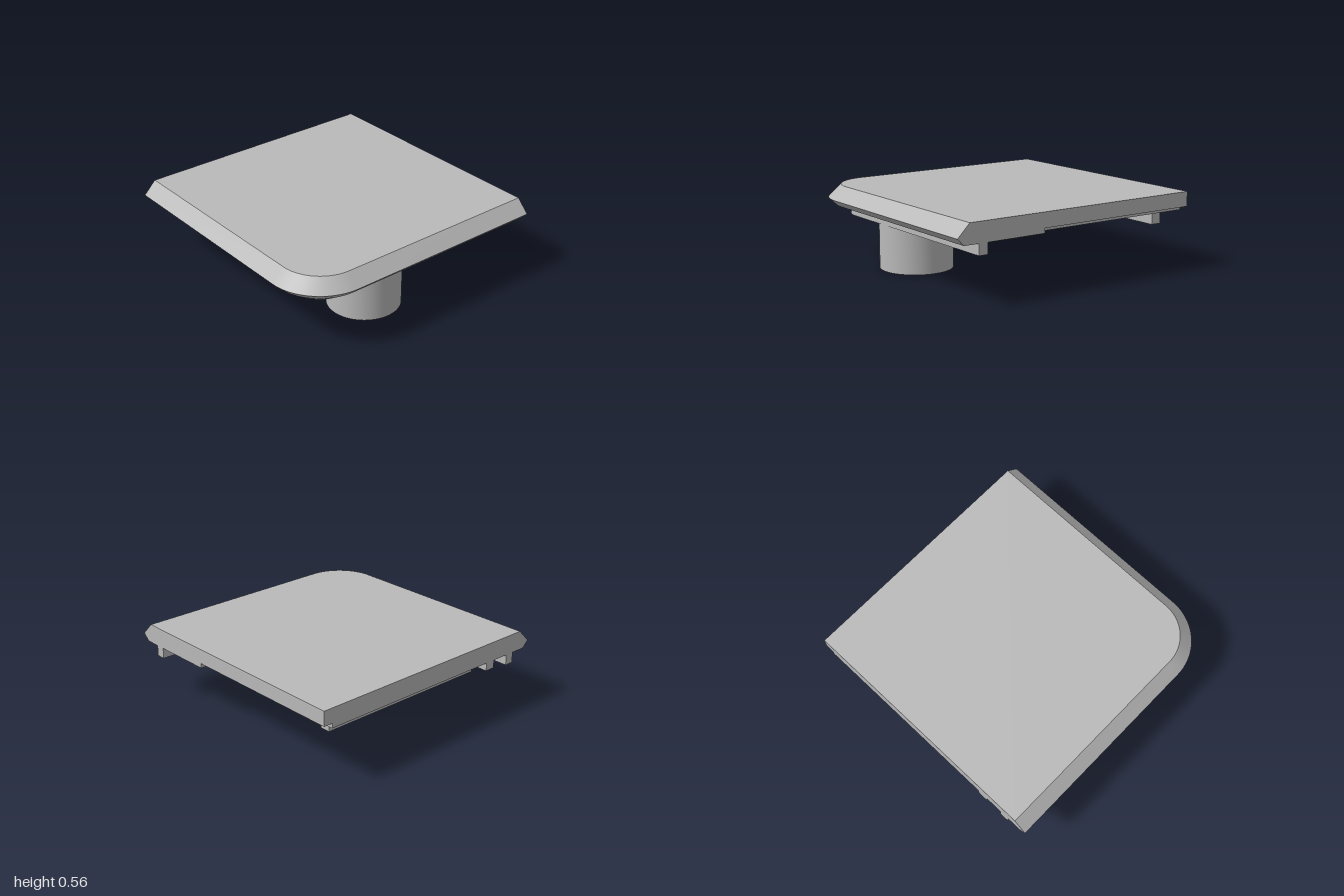
import * as THREE from 'three';
import { toCreasedNormals } from 'three/addons/utils/BufferGeometryUtils.js';

const grey = new THREE.MeshStandardMaterial({ color: 0xbababa });
grey.name = 'grey';

// Edge path set in from the outer boundary: along the front, round the corner, to the back
function edgePath(inset) {
  const pts = [[1, 1 - inset]];
  const r = 0.4 - inset;
  const n = 20;
  for (let i = 0; i <= n; i++) {
    const a = (i / n) * Math.PI / 2;
    pts.push([-0.6 - r * Math.sin(a), 0.6 + r * Math.cos(a)]);
  }
  pts.push([-1 + inset, -1]);
  return pts;
}

// Solid through stacked [x, z] outlines, each at its own height
function loft(layers) {
  const pos = [];
  const tri = (...corners) => corners.forEach((p) => pos.push(...p));
  const at = (layer, i) => {
    const [x, z] = layer.pts[i % layer.pts.length];
    return [x, layer.y, z];
  };
  for (let k = 0; k + 1 < layers.length; k++) {
    const lo = layers[k], hi = layers[k + 1];
    for (let i = 0; i < lo.pts.length; i++) {
      tri(at(lo, i + 1), at(lo, i), at(hi, i));
      tri(at(lo, i + 1), at(hi, i), at(hi, i + 1));
    }
  }
  const cap = (layer, up) => {
    const flat = layer.pts.map(([x, z]) => new THREE.Vector2(x, z));
    for (const [a, b, c] of THREE.ShapeUtils.triangulateShape(flat, [])) {
      const area = THREE.ShapeUtils.area([flat[a], flat[b], flat[c]]);
      const order = (area < 0) === up ? [a, b, c] : [a, c, b];
      tri(...order.map((i) => at(layer, i)));
    }
  };
  cap(layers[0], false);
  cap(layers[layers.length - 1], true);
  const geo = new THREE.BufferGeometry();
  geo.setAttribute('position', new THREE.Float32BufferAttribute(pos, 3));
  return toCreasedNormals(geo, 0.4);
}

export function createModel() {
  const model = new THREE.Group();
  model.name = 'corner plate';
  const add = (name, geo) => {
    const mesh = new THREE.Mesh(geo, grey);
    mesh.name = name;
    model.add(mesh);
    return mesh;
  };
  const bar = (name, x0, x1, y0, y1, z0, z1) =>
    add(name, new THREE.BoxGeometry(x1 - x0, y1 - y0, z1 - z0))
      .position.set((x0 + x1) / 2, (y0 + y1) / 2, (z0 + z1) / 2);

  // Bevelled plate
  const plate = (inset) => [...edgePath(inset), [1, -1]];
  add('plate', loft([
    { y: 0.455, pts: plate(0.015) },
    { y: 0.47, pts: plate(0) },
    { y: 0.565, pts: plate(0.095) },
  ]));

  // Lower layer, notched along the straight side edge
  const notched = (inset) => [...edgePath(inset), [0.93, -1], [0.93, 0.3], [1, 0.3]];
  add('plateUnderside', loft([
    { y: 0.42, pts: notched(0.05) },
    { y: 0.455, pts: notched(0.015) },
  ]));

  // Rim wall following the rounded corner
  const band = [...edgePath(0.165), ...edgePath(0.235).reverse()];
  add('rim', loft([{ y: 0.34, pts: band }, { y: 0.42, pts: band }]));

  // Ribs under the plate
  bar('backRib', -0.53, 0.85, 0.32, 0.42, -0.88, -0.8);
  bar('middleRib', -0.78, 0.21, 0.36, 0.42, -0.05, 0.03);
  bar('sideRail', -0.63, -0.55, 0.36, 0.42, -1, 0.77);

  // Hollow round leg
  const profile = [[0.18, 0.42], [0.18, 0], [0.27, 0], [0.27, 0.42]];
  const leg = new THREE.LatheGeometry(profile.map(([r, y]) => new THREE.Vector2(r, y)), 64);
  add('leg', toCreasedNormals(leg, 0.5)).position.set(-0.18, 0, 0.565);

  return model;
}
